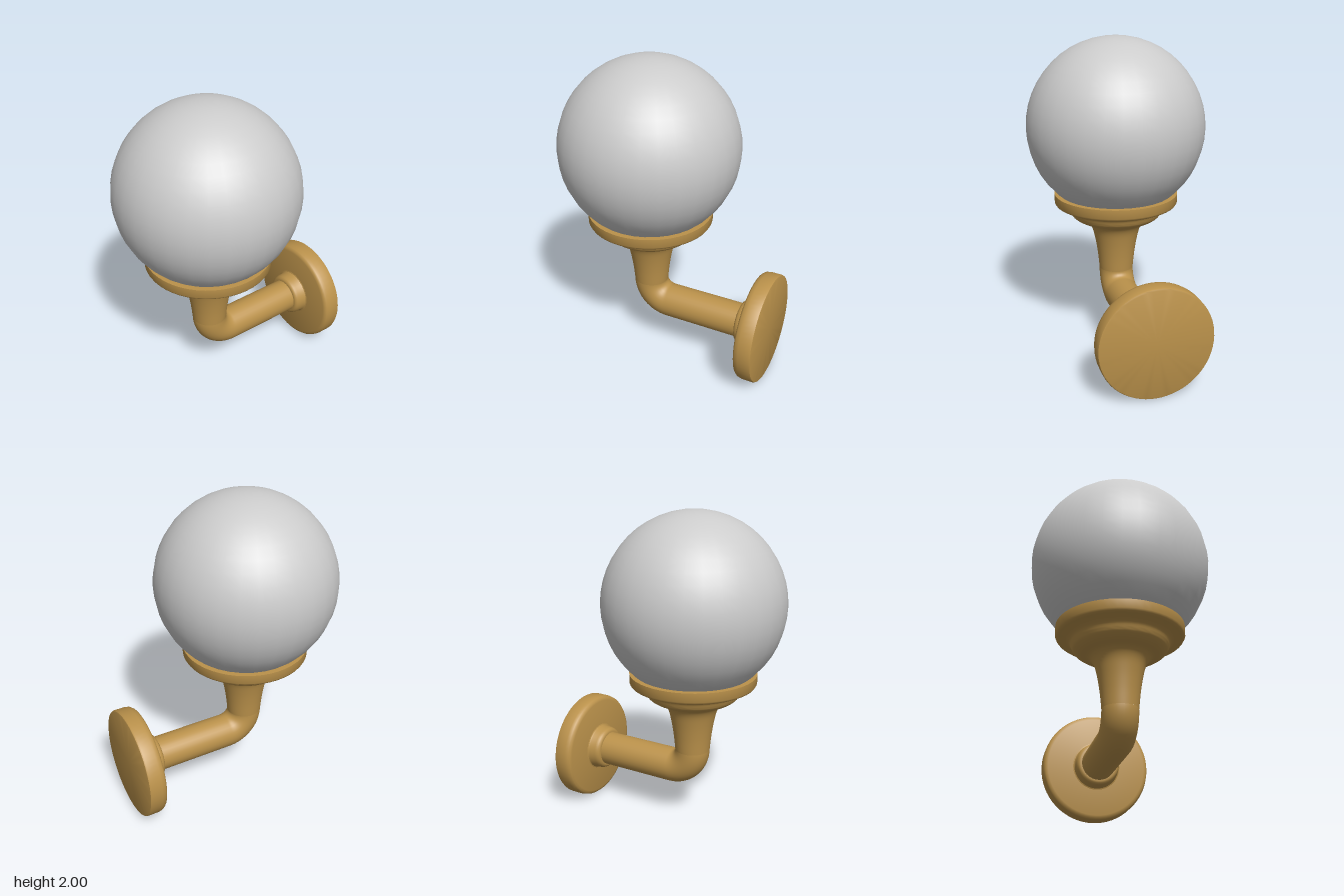
import * as THREE from 'three';
import { toCreasedNormals } from 'three/addons/utils/BufferGeometryUtils.js';

const brass = new THREE.MeshStandardMaterial({ color: 0xbb924b });
const glass = new THREE.MeshStandardMaterial({ color: 0xcccccc });

const AXIS_Z = 0.143; // vertical axis of globe and cup
const ARM_Y = 0.355;  // height of the horizontal arm
const ARM_R = 0.11;
const BEND = 0.145;   // elbow radius

const v2 = (pairs) => pairs.map(([r, h]) => new THREE.Vector2(r, h));

function turned(name, points, segments = 48) {
  const geo = toCreasedNormals(new THREE.LatheGeometry(points, segments), 0.7);
  const mesh = new THREE.Mesh(geo, brass);
  mesh.name = name;
  return mesh;
}

export function createModel() {
  const group = new THREE.Group();
  group.name = 'wallLamp';

  // Glass globe
  const globe = new THREE.Mesh(new THREE.SphereGeometry(0.558, 32, 24), glass);
  globe.name = 'globe';
  globe.position.set(0, 1.442, AXIS_Z);
  group.add(globe);

  // Flared stem and cup with a flat rim
  const flare = new THREE.SplineCurve(v2([
    [ARM_R, 0.5], [0.12, 0.6], [0.136, 0.7], [0.157, 0.78], [0.19, 0.825],
    [0.245, 0.845], [0.285, 0.873], [0.305, 0.915], [0.33, 0.935],
  ])).getPoints(40);
  const rim = v2([[0.372, 0.942], [0.387, 0.95], [0.394, 0.962], [0.394, 1.018], [0.35, 1.018]]);
  const cup = turned('cup', [...flare, ...rim]);
  cup.position.z = AXIS_Z;
  group.add(cup);

  // Arm: straight pipe with a quarter-turn elbow up into the stem
  const z0 = AXIS_Z - BEND;
  const k = BEND * 0.5523;
  const path = new THREE.CurvePath();
  path.add(new THREE.LineCurve3(
    new THREE.Vector3(0, ARM_Y, -0.6), new THREE.Vector3(0, ARM_Y, z0)));
  path.add(new THREE.CubicBezierCurve3(
    new THREE.Vector3(0, ARM_Y, z0),
    new THREE.Vector3(0, ARM_Y, z0 + k),
    new THREE.Vector3(0, ARM_Y + BEND - k, AXIS_Z),
    new THREE.Vector3(0, ARM_Y + BEND, AXIS_Z)));
  const arm = new THREE.Mesh(new THREE.TubeGeometry(path, 64, ARM_R, 32), brass);
  arm.name = 'arm';
  group.add(arm);

  // Wall plate and collar, turned about the arm's axis
  const plate = turned('wallPlate', v2([
    [0, -0.7], [0.338, -0.7], [0.346, -0.697], [0.35, -0.689], [0.35, -0.62],
    [0.345, -0.597], [0.336, -0.586], [0.32, -0.581], [0, -0.579],
  ]), 64);
  const collar = turned('collar', v2([
    [0.16, -0.582], [0.148, -0.577], [0.144, -0.568], [0.141, -0.53],
    [0.136, -0.513], [0.128, -0.503], [0.118, -0.499], [0.1, -0.499],
  ]));
  for (const part of [plate, collar]) {
    part.rotation.x = Math.PI / 2;
    part.position.y = ARM_Y;
    group.add(part);
  }

  return group;
}
